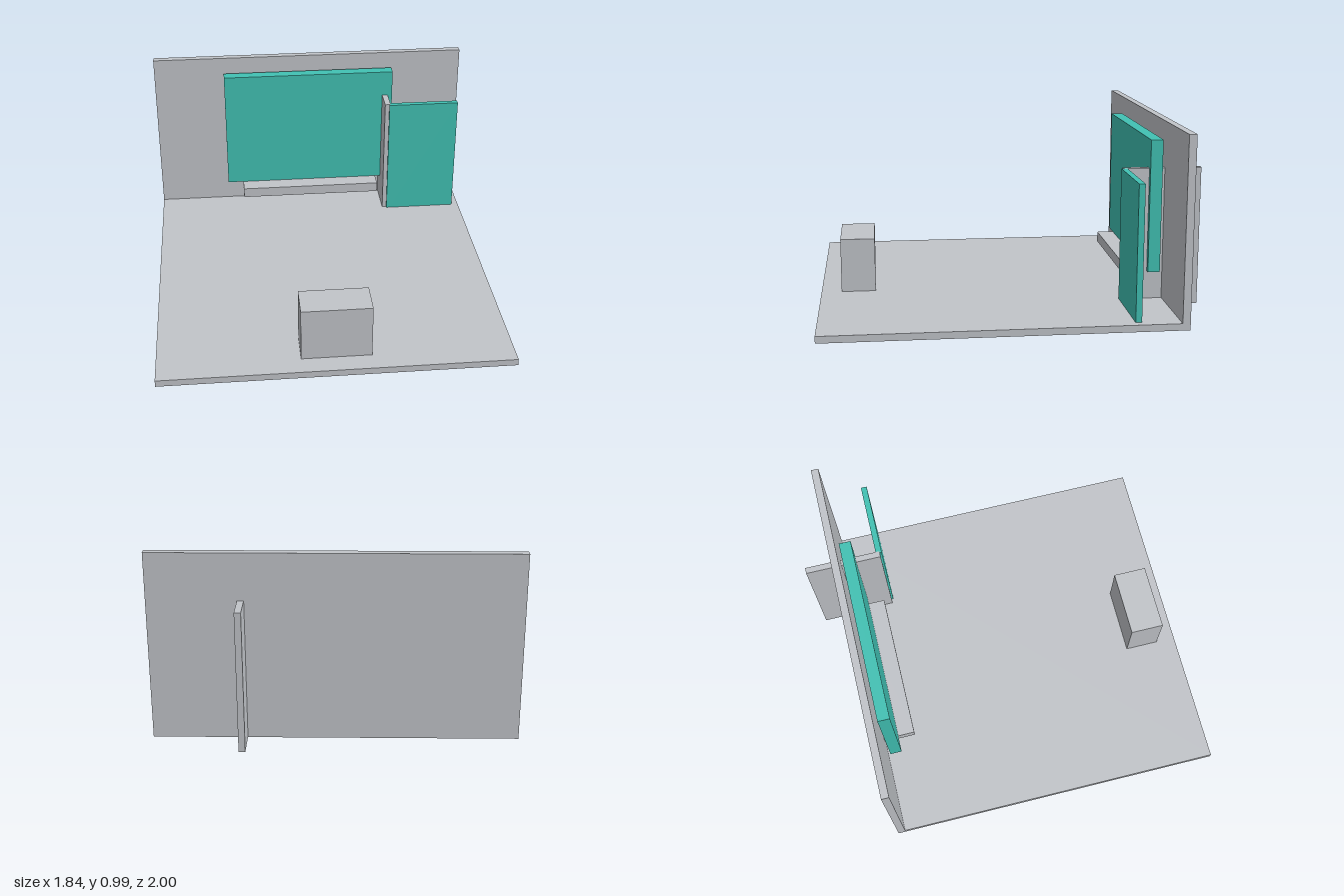
import * as THREE from 'three';

const grey = new THREE.MeshStandardMaterial({ name: 'pale grey', color: 0xc1c4c9 });
const teal = new THREE.MeshStandardMaterial({ name: 'teal', color: 0x41c1b3 });

// Box given by its extents along each axis
function slab(name, material, [x0, x1], [y0, y1], [z0, z1]) {
  const mesh = new THREE.Mesh(new THREE.BoxGeometry(x1 - x0, y1 - y0, z1 - z0), material);
  mesh.position.set((x0 + x1) / 2, (y0 + y1) / 2, (z0 + z1) / 2);
  mesh.name = name;
  return mesh;
}

export function createModel() {
  const model = new THREE.Group();
  model.name = 'roomSet';
  model.add(
    // Room shell
    slab('floor', grey, [-0.92, 0.92], [0.001, 0.037], [-0.805, 1]),
    slab('backWall', grey, [-0.92, 0.92], [0.001, 0.985], [-0.845, -0.805]),
    // Wall screen with the shelf below it
    slab('screen', teal, [-0.508, 0.503], [0.187, 0.893], [-0.787, -0.723]),
    slab('shelf', grey, [-0.415, 0.412], [0.128, 0.186], [-0.806, -0.63]),
    // Partition running through the wall, and the panel at its front; the panel reaches through the floor
    slab('partition', grey, [0.443, 0.476], [0.001, 0.741], [-1, -0.587]),
    slab('sidePanel', teal, [0.468, 0.88], [0, 0.74], [-0.608, -0.576]),
    // Block near the front edge
    slab('seatBlock', grey, [-0.183, 0.183], [0.02, 0.328], [0.708, 0.892]),
  );
  return model;
}
